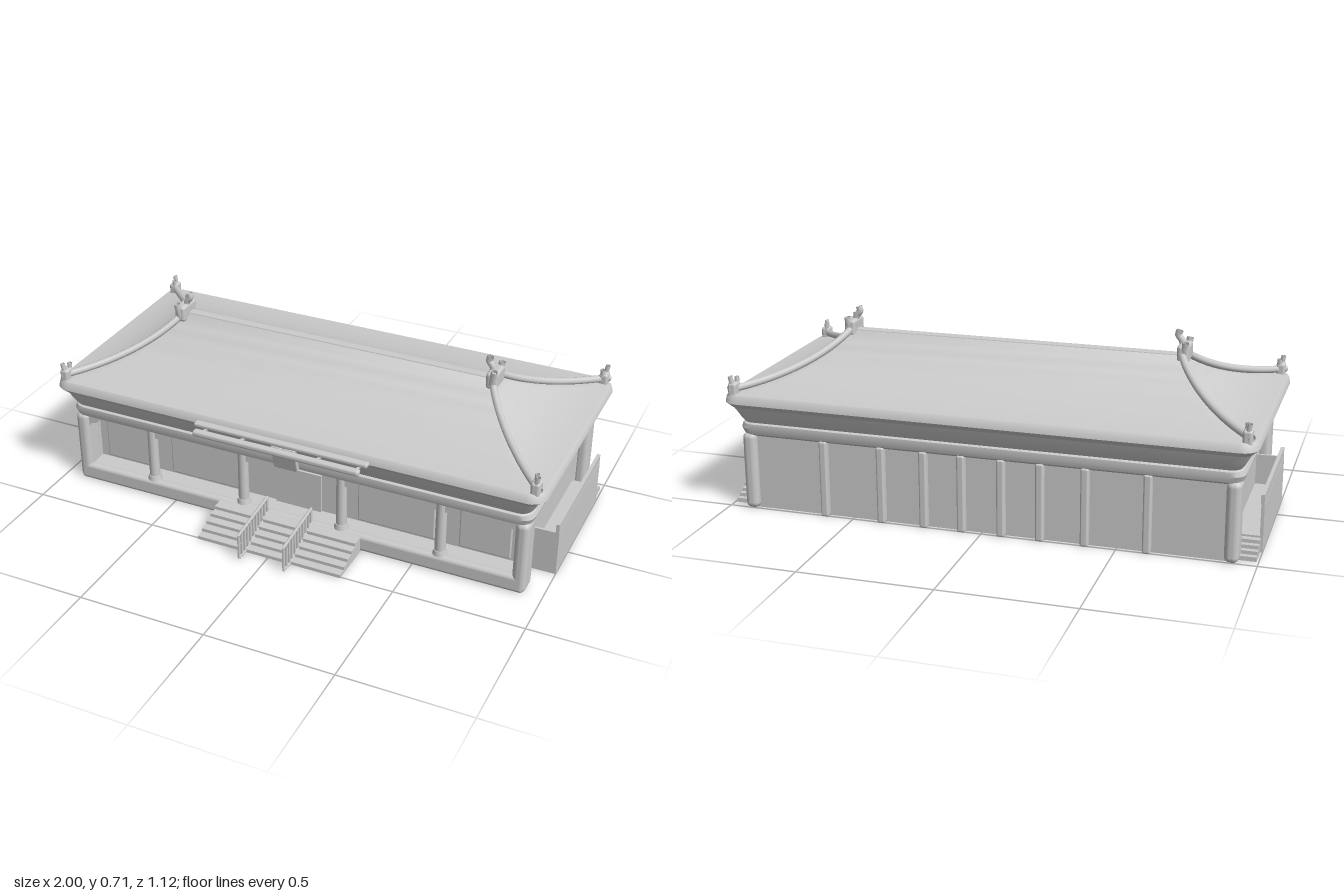
import * as THREE from 'three';
import { toCreasedNormals } from 'three/addons/utils/BufferGeometryUtils.js';
import { RoundedBoxGeometry } from 'three/addons/geometries/RoundedBoxGeometry.js';

const grey = new THREE.MeshStandardMaterial({ color: 0xcccccc, side: THREE.DoubleSide });
const ZC = -0.093; // middle of the hall in z

export function createModel() {
  const root = new THREE.Group();
  const add = (name, geo, x = 0, y = 0, z = 0) => {
    const m = new THREE.Mesh(geo, grey);
    m.name = name;
    m.position.set(x, y, z);
    root.add(m);
    return m;
  };
  // box given by its limits, mirrored limits allowed
  const box = (name, x0, x1, y0, y1, z0, z1, r = 0) => {
    const w = Math.abs(x1 - x0), h = y1 - y0, d = z1 - z0;
    const geo = r ? new RoundedBoxGeometry(w, h, d, 3, r) : new THREE.BoxGeometry(w, h, d);
    return add(name, geo, (x0 + x1) / 2, (y0 + y1) / 2, (z0 + z1) / 2);
  };
  const bar = (name, a, b, r) => add(name,
    new THREE.TubeGeometry(new THREE.LineCurve3(new THREE.Vector3(...a), new THREE.Vector3(...b)), 1, r, 8));

  // skin over rounded rectangles [halfX, halfZ, y, cornerRadius], bottom to top
  const loft = (name, rings) => {
    const pos = [], idx = [], k = 5, n = 4 * (k + 1);
    for (const [hx, hz, y, r] of rings)
      for (let c = 0; c < 4; c++)
        for (let i = 0; i <= k; i++) {
          const a = (c + i / k) * Math.PI / 2;
          const sx = c === 0 || c === 3 ? 1 : -1, sz = c < 2 ? 1 : -1;
          pos.push(sx * (hx - r) + r * Math.cos(a), y, sz * (hz - r) + r * Math.sin(a) + ZC);
        }
    for (let j = 0; j < rings.length - 1; j++)
      for (let i = 0; i < n; i++) {
        const a = j * n + i, b = j * n + (i + 1) % n;
        idx.push(a, a + n, b, b, a + n, b + n);
      }
    const g = new THREE.BufferGeometry();
    g.setAttribute('position', new THREE.Float32BufferAttribute(pos, 3));
    g.setIndex(idx);
    return add(name, toCreasedNormals(g, 0.6));
  };

  // hipped roof with a hollow sweep and bowed hips; f runs from eave (0) to ridge (1)
  const slope = f => [0.64 + 0.338 * Math.pow(1 - f, 1.22), 0.452 - 0.437 * f, 0.455 + 0.04 * f + 0.125 * Math.pow(f, 2.2)];
  const roof = [[0.93, 0.41, 0.398, 0.05], [0.97, 0.447, 0.405, 0.05], [0.99, 0.465, 0.424, 0.06], [0.986, 0.461, 0.445, 0.06]];
  for (let i = 0; i <= 16; i++) {
    const f = i / 16;
    roof.push([...slope(f), 0.05 * (1 - f) + 0.002]);
  }
  loft('roof', roof);
  box('roofRidge', -0.64, 0.64, 0.6, 0.624, ZC - 0.018, ZC + 0.018, 0.007);

  // hip ridges with corner and ridge-end finials
  for (const s of [-1, 1]) {
    for (const t of [-1, 1]) {
      const pts = [];
      for (let i = 0; i <= 12; i++) {
        const [hx, hz, y] = slope(0.03 + 0.97 * i / 12);
        pts.push(new THREE.Vector3(s * hx, y + 0.014, t * hz + ZC));
      }
      add('hipRidge', new THREE.TubeGeometry(new THREE.CatmullRomCurve3(pts), 24, 0.014, 8));
      const cz = ZC + t * 0.422;
      box('cornerFinialBase', s * 0.95 - 0.017, s * 0.95 + 0.017, 0.43, 0.498, cz - 0.024, cz + 0.024, 0.01);
      bar('cornerFinialHorn', [s * 0.95, 0.48, cz + t * 0.012], [s * 0.957, 0.522, cz + t * 0.014], 0.009);
      bar('cornerFinialHorn', [s * 0.945, 0.48, cz - t * 0.014], [s * 0.945, 0.515, cz - t * 0.016], 0.009);
      bar('ridgeFinialEar', [s * 0.648, 0.61, ZC + 0.012 + t * 0.038], [s * 0.658, 0.67, ZC + 0.012 + t * 0.045], 0.013);
    }
    box('ridgeFinialBase', s * 0.648 - 0.022, s * 0.648 + 0.022, 0.595, 0.66, ZC - 0.04, ZC + 0.06, 0.012);
    const horn = new THREE.CatmullRomCurve3([[0.645, 0.64], [0.635, 0.67], [0.622, 0.688], [0.627, 0.705]]
      .map(([x, y]) => new THREE.Vector3(s * x, y, ZC + 0.012)));
    add('ridgeFinialHorn', new THREE.TubeGeometry(horn, 12, 0.013, 8));
  }

  // flared bracket course and rounded beam under the eaves
  loft('eaveBrackets', [[0.925, 0.41, 0.335, 0.04], [0.94, 0.424, 0.355, 0.045], [0.953, 0.436, 0.38, 0.05], [0.968, 0.446, 0.406, 0.05]]);
  loft('beam', [[0.87, 0.36, 0.285, 0.02], [0.915, 0.4, 0.287, 0.04], [0.938, 0.418, 0.298, 0.05], [0.945, 0.425, 0.32, 0.05],
    [0.938, 0.424, 0.338, 0.05], [0.925, 0.41, 0.346, 0.04]]);
  box('ceiling', -0.9, 0.9, 0.29, 0.298, -0.48, 0.3);

  // porch plinth and walls of the hollow hall
  box('porchPlinth', -0.93, 0.93, 0, 0.07, 0.288, 0.325, 0.016);
  box('porchFloor', -0.89, 0.89, 0.055, 0.068, 0.22, 0.31);
  box('backWall', -0.9, 0.9, 0, 0.295, -0.485, -0.475);
  box('frontWall', -0.89, 0.89, 0.055, 0.295, 0.22, 0.23);
  for (const s of [-1, 1]) {
    box('sideWall', s * 0.884, s * 0.896, 0, 0.295, -0.48, 0.26);
    box('frontPier', s * 0.882, s * 0.935, 0, 0.3, 0.232, 0.325, 0.022);
    box('backPier', s * 0.882, s * 0.935, 0, 0.3, -0.512, -0.43, 0.022);
  }

  // back pilasters
  for (const x of [0.075, 0.22, 0.385, 0.61])
    for (const s of [-1, 1]) box('backPilaster', s * x - 0.015, s * x + 0.015, 0, 0.295, -0.51, -0.475, 0.008);

  // porch columns with corbels on both sides
  const corbel = new THREE.Shape();
  corbel.moveTo(0, 0);
  corbel.lineTo(0.085, 0);
  corbel.quadraticCurveTo(0.08, -0.022, 0.055, -0.02);
  corbel.quadraticCurveTo(0.04, -0.04, 0.02, -0.038);
  corbel.lineTo(0, -0.06);
  const corbelGeo = new THREE.ExtrudeGeometry(corbel, { depth: 0.024, bevelEnabled: false });
  const putCorbel = (x, side) => { add('corbel', corbelGeo, x, 0.298, side > 0 ? 0.283 : 0.307).rotation.y = side > 0 ? 0 : Math.PI; };
  for (const x of [-0.6, -0.205, 0.205, 0.6]) {
    add('porchColumn', new THREE.CylinderGeometry(0.02, 0.021, 0.24, 16), x, 0.18, 0.296);
    add('columnBase', new THREE.CylinderGeometry(0.024, 0.028, 0.02, 16), x, 0.078, 0.296);
    putCorbel(x, 1);
    putCorbel(x, -1);
  }
  putCorbel(-0.89, 1);
  putCorbel(0.89, -1);

  // shallow wall panels and the door behind the porch
  for (const [x, w] of [[0.4, 0.31], [0.75, 0.2]])
    for (const s of [-1, 1]) box('wallPanel', s * x - w / 2, s * x + w / 2, 0.075, 0.28, 0.222, 0.237, 0.006);
  box('door', -0.095, 0.095, 0.065, 0.23, 0.222, 0.24);

  // name board leaning out, and the paired bars on brackets above it
  const board = add('nameBoard', new RoundedBoxGeometry(0.1, 0.11, 0.018, 2, 0.006), 0, 0.35, 0.35);
  board.rotation.x = 0.25;
  box('frontBar', -0.35, 0.35, 0.425, 0.443, 0.375, 0.405, 0.007);
  box('outerBar', -0.335, 0.335, 0.41, 0.435, 0.418, 0.447, 0.01);
  for (let i = -2; i <= 2; i++) bar('barBracket', [i * 0.155, 0.4, 0.34], [i * 0.155, 0.422, 0.435], 0.006);

  // wide front steps
  for (let i = 0; i < 5; i++) box('frontStep', -0.295, 0.295, 0, 0.065 - i * 0.013, 0.31, 0.37 + i * 0.034);

  // stair railings
  for (const x of [-0.092, 0.092]) {
    const low = z => z > 0.5 ? 0.008 : 0.07 - (z - 0.32) * 0.34;
    const top = z => 0.134 - (z - 0.32) * 0.11;
    bar('handrail', [x, top(0.32), 0.32], [x, top(0.56), 0.56], 0.006);
    bar('bottomRail', [x, low(0.32), 0.32], [x, low(0.5), 0.5], 0.006);
    bar('bottomRail', [x, 0.008, 0.5], [x, 0.008, 0.56], 0.006);
    for (let i = 0; i <= 10; i++) {
      const z = 0.323 + i * 0.0234;
      box('baluster', x - 0.003, x + 0.003, low(z), top(z), z - 0.006, z + 0.006);
    }
  }

  // side landings with a parapet and steps down to the back
  for (const s of [-1, 1]) {
    box('sideLanding', s * 0.885, s * 0.99, 0.05, 0.062, -0.375, 0.15);
    box('sideParapet', s * 0.988, s, 0, 0.18, -0.375, 0.152);
    box('parapetCap', s * 0.986, s * 0.999, 0.18, 0.216, -0.375, 0.152);
    box('landingEndWall', s * 0.89, s * 0.995, 0, 0.18, 0.142, 0.152);
    for (let i = 0; i < 4; i++) box('sideStep', s * 0.89, s * 0.992, 0, 0.055 - i * 0.013, -0.4 - i * 0.021, -0.37);
  }
  return root;
}
